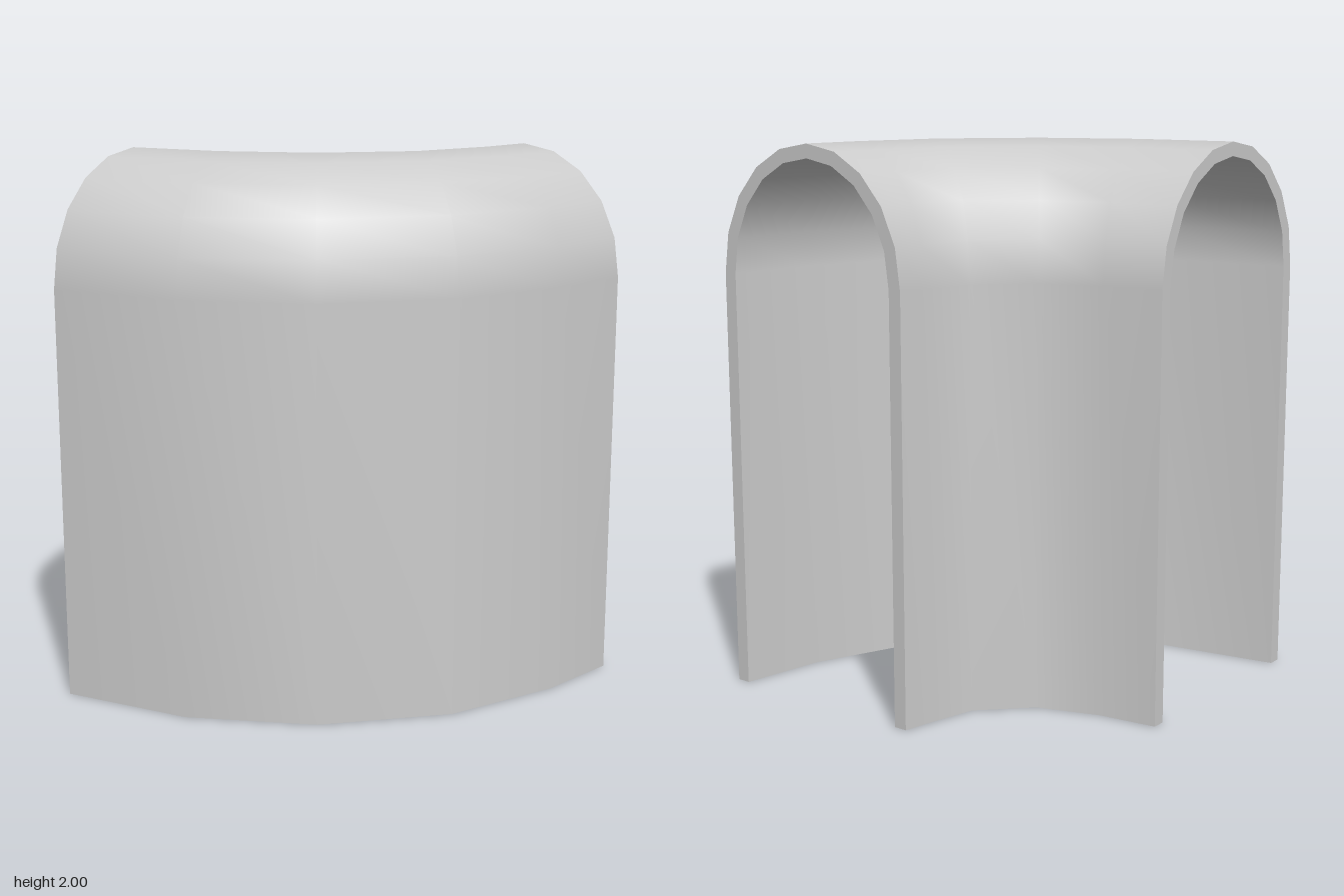
import * as THREE from 'three';
import { mergeGeometries } from 'three/addons/utils/BufferGeometryUtils.js';

// Floor plan of the bend (x, z): matching stations on the outer and inner walls
const OUTER = [[-0.745, 0.71], [-0.25, 0.625], [0.18, 0.4], [0.52, 0.035], [0.69, -0.385], [0.745, -0.71]];
const INNER = [[-0.745, -0.155], [-0.53, -0.185], [-0.31, -0.26], [-0.145, -0.425], [-0.1, -0.61], [-0.08, -0.71]];
const SPRING = 1.53, RISE = 0.47, THICK = 0.05, ARCH_STEPS = 10;

// Arch section at one station, running from the outer foot over the top to the inner foot
function section(i, inset) {
  const a = new THREE.Vector3(OUTER[i][0], 0, OUTER[i][1]);
  const b = new THREE.Vector3(INNER[i][0], 0, INNER[i][1]);
  const mid = a.clone().add(b).multiplyScalar(0.5);
  const half = a.clone().sub(mid);
  half.setLength(half.length() - inset);
  const at = (u, y) => mid.clone().addScaledVector(half, u).setY(y);
  const points = [at(1, 0)];
  for (let k = 0; k <= ARCH_STEPS; k++) {
    const t = Math.PI * k / ARCH_STEPS;
    points.push(at(Math.cos(t), SPRING + (RISE - inset) * Math.sin(t)));
  }
  points.push(at(-1, 0));
  return points;
}

// Smooth surface through rows of points
function loft(rows) {
  const n = rows[0].length, index = [];
  for (let i = 0; i < rows.length - 1; i++) {
    for (let j = 0; j < n - 1; j++) {
      const p = i * n + j, q = p + n;
      index.push(p, q, p + 1, q, q + 1, p + 1);
    }
  }
  const g = new THREE.BufferGeometry().setFromPoints(rows.flat());
  g.setIndex(index);
  g.computeVertexNormals();
  return g;
}

export function createModel() {
  const group = new THREE.Group();
  group.name = 'curvedArchTunnel';
  const material = new THREE.MeshStandardMaterial({ color: 0xcccccc });
  const add = (name, geometry) => {
    const mesh = new THREE.Mesh(geometry, material);
    mesh.name = name;
    group.add(mesh);
  };

  const outside = OUTER.map((_, i) => section(i, 0));
  const inside = OUTER.map((_, i) => section(i, THICK));
  const last = OUTER.length - 1, foot = outside[0].length - 1;

  // Vault skins
  add('outerShell', loft(outside));
  add('innerShell', loft(inside.map((row) => [...row].reverse())));

  // Flat rims closing the two open ends
  add('endRims', mergeGeometries([
    loft([inside[0], outside[0]]),
    loft([outside[last], inside[last]]),
  ]));

  // Flat undersides of both walls
  add('wallFeet', mergeGeometries([
    loft(outside.map((row, i) => [inside[i][0], row[0]])),
    loft(outside.map((row, i) => [row[foot], inside[i][foot]])),
  ]));

  return group;
}
